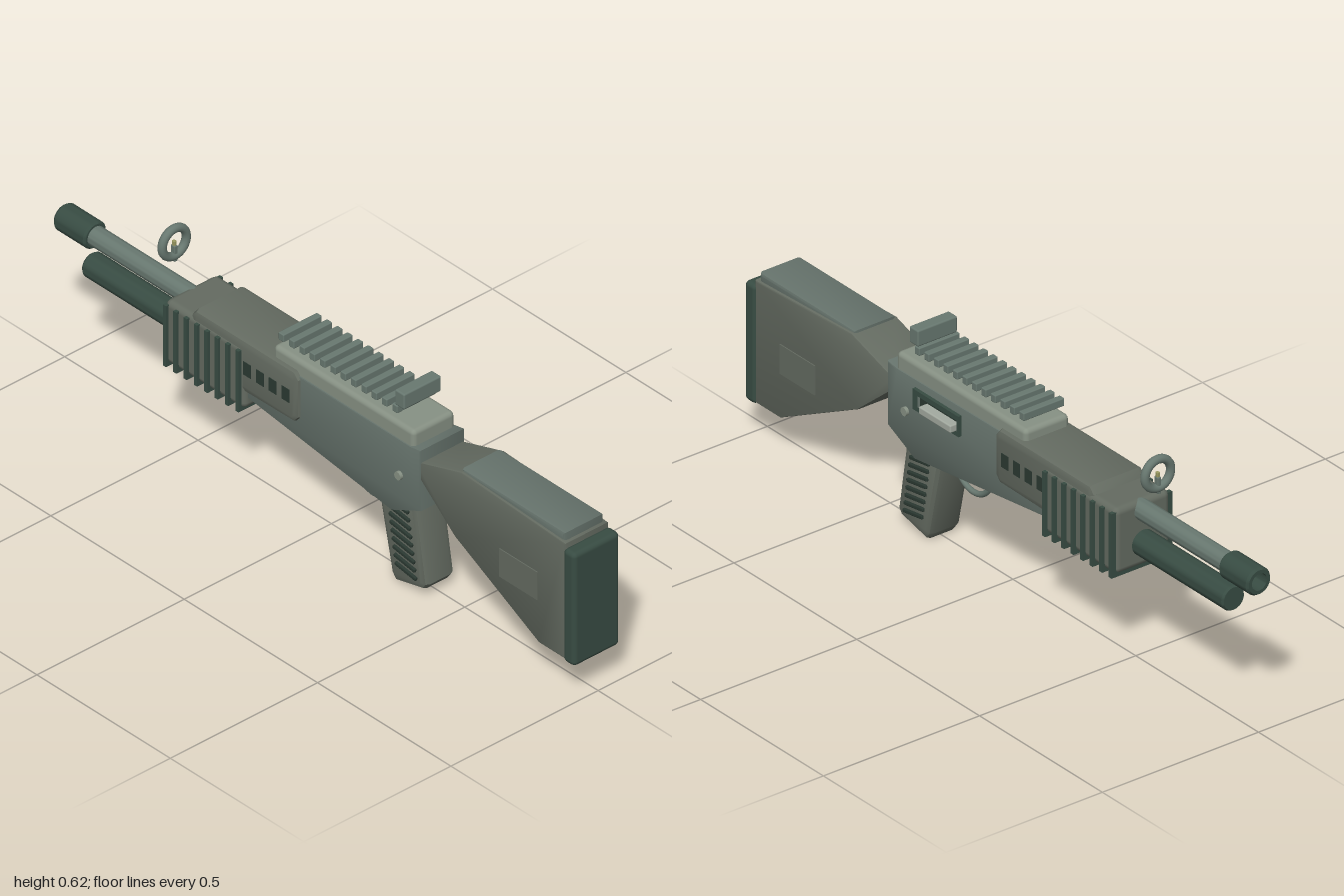
import * as THREE from 'three';
import { toCreasedNormals } from 'three/addons/utils/BufferGeometryUtils.js';
import { RoundedBoxGeometry } from 'three/addons/geometries/RoundedBoxGeometry.js';

const paint = (color) => new THREE.MeshStandardMaterial({ color });
const MAT = {
  dark: paint(0x384c43), black: paint(0x2b3932), stock: paint(0x646b61), body: paint(0x65726b),
  cover: paint(0x879184), steel: paint(0x687870), bolt: paint(0xa3aaa0), bead: paint(0x9a9a62),
};

export function createModel() {
  const model = new THREE.Group();
  const body = new THREE.Group();
  body.name = 'body';
  body.position.x = -0.003;
  model.add(body);

  const add = (name, geometry, mat, x = 0, y = 0, z = 0, parent = body) => {
    const mesh = new THREE.Mesh(geometry, MAT[mat]);
    mesh.name = name;
    mesh.position.set(x, y, z);
    parent.add(mesh);
    return mesh;
  };

  // Box given by width and its y and z ranges; rounded when r > 0
  const box = (name, mat, w, [y0, y1], [z0, z1], r = 0, x = 0, parent = body) => {
    const size = [w, Math.abs(y1 - y0), Math.abs(z1 - z0)];
    const geo = r ? new RoundedBoxGeometry(...size, 2, r) : new THREE.BoxGeometry(...size);
    return add(name, geo, mat, x, (y0 + y1) / 2, (z0 + z1) / 2, parent);
  };

  // Side profile of [z, y] points, extruded across x with bevelled edges
  const profile = (name, mat, width, points, bevel) => {
    const shape = new THREE.Shape(points.map(([z, y]) => new THREE.Vector2(z, y)));
    const geo = new THREE.ExtrudeGeometry(shape, {
      depth: width - 2 * bevel, bevelThickness: bevel, bevelSize: bevel, bevelOffset: -bevel, bevelSegments: 2,
    });
    geo.translate(0, 0, -(width - 2 * bevel) / 2).rotateY(-Math.PI / 2);
    return add(name, toCreasedNormals(geo, 0.5), mat);
  };

  // Turned part along -z from [radius, distance forward] points
  const turned = (name, mat, points, y) => {
    const geo = new THREE.LatheGeometry(points.map(([r, d]) => new THREE.Vector2(r, d)), 32);
    geo.rotateX(-Math.PI / 2);
    return add(name, toCreasedNormals(geo, 0.5), mat, 0, y, 0);
  };

  // Stock, cheek piece, butt pad and side panels
  profile('stock', 'stock', 0.146, [
    [0.962, 0.464], [0.57, 0.482], [0.4, 0.428], [0.4, 0.395], [0.545, 0.273], [0.86, 0.11], [0.962, 0.11],
  ], 0.005);
  profile('cheekPiece', 'body', 0.132, [[0.952, 0.44], [0.952, 0.488], [0.565, 0.488], [0.565, 0.45]], 0.008);
  box('buttPad', 'dark', 0.158, [0.105, 0.45], [0.955, 1.0], 0.014);
  for (const s of [-1, 1]) box('stockPanel', 'stock', 0.006, [0.24, 0.325], [0.716, 0.858], 0, s * 0.073);

  // Receiver and its top cover
  profile('receiver', 'body', 0.15, [
    [0.42, 0.472], [0.42, 0.287], [0.31, 0.235], [-0.23, 0.303], [-0.23, 0.47], [0.38, 0.465],
  ], 0.004);
  box('receiverCover', 'cover', 0.143, [0.45, 0.512], [0.39, -0.138], 0.014);
  for (const s of [-1, 1]) {
    const pin = add('receiverPin', new THREE.CylinderGeometry(0.012, 0.012, 0.018, 16), 'cover', s * 0.075, 0.36, 0.343);
    pin.rotation.z = Math.PI / 2;
  }

  // Ejection port on the left side: raised frame, recess and bolt
  const port = new THREE.Group();
  port.name = 'ejectionPort';
  body.add(port);
  const frame = new THREE.Shape([[0.305, 0.386], [0.118, 0.386], [0.118, 0.445], [0.305, 0.445]]
    .map((p) => new THREE.Vector2(...p)));
  frame.holes.push(new THREE.Path([[0.285, 0.399], [0.126, 0.399], [0.126, 0.431], [0.285, 0.431]]
    .map((p) => new THREE.Vector2(...p))));
  const frameGeo = new THREE.ExtrudeGeometry(frame, { depth: 0.014, bevelEnabled: false }).rotateY(-Math.PI / 2);
  add('portFrame', frameGeo, 'dark', 0.085, 0, 0, port);
  box('portRecess', 'black', 0.004, [0.399, 0.431], [0.126, 0.285], 0, 0.075, port);
  box('boltHandle', 'bolt', 0.03, [0.398, 0.42], [0.128, 0.258], 0.004, 0.088, port);

  // Rail teeth and rear sight
  for (let i = 0; i < 12; i++) {
    const z = 0.312 - i * 0.0387;
    box('railTooth', 'steel', 0.131, [0.531, 0.554], [z - 0.01, z + 0.01], 0.003);
  }
  box('rearSight', 'steel', 0.127, [0.553, 0.6], [0.31, 0.346], 0.005);

  // Upper handguard with vents
  profile('handguard', 'stock', 0.172, [
    [-0.027, 0.46], [-0.045, 0.48], [-0.415, 0.48], [-0.433, 0.46], [-0.433, 0.33],
    [-0.23, 0.322], [-0.045, 0.325], [-0.027, 0.345],
  ], 0.016);
  for (const s of [-1, 1]) {
    for (let i = 0; i < 5; i++) {
      const z = -0.073 - i * 0.048;
      box('vent', 'black', 0.008, [0.38, 0.42], [z - 0.014, z + 0.014], 0, s * 0.0835);
    }
  }

  // Ribbed sliding fore-end
  box('foreEnd', 'stock', 0.178, [0.27, 0.46], [-0.227, -0.527], 0.018);
  for (let i = 0; i < 8; i++) {
    const z = -0.244 - i * 0.0388;
    box('foreEndRib', 'dark', 0.194, [0.264, 0.45], [z - 0.006, z + 0.006]);
  }

  // Barrel, muzzle with open bore, and lower tube
  turned('barrel', 'steel', [[0, 0.4], [0.028, 0.4], [0.028, 0.9], [0, 0.9]], 0.432);
  turned('muzzle', 'dark', [
    [0.02, 0.88], [0.034, 0.88], [0.039, 0.886], [0.039, 0.993], [0.034, 1.0], [0.024, 1.0], [0.022, 0.93], [0, 0.93],
  ], 0.432);
  turned('lowerTube', 'dark', [[0, 0.5], [0.036, 0.5], [0.036, 0.89], [0.032, 0.896], [0, 0.896]], 0.339);

  // Front ring sight with its post
  add('frontSightRing', new THREE.TorusGeometry(0.041, 0.012, 14, 36), 'steel', 0, 0.563, -0.586);
  box('frontSightPost', 'steel', 0.012, [0.507, 0.555], [-0.594, -0.578], 0.003);
  box('frontSightBead', 'bead', 0.009, [0.553, 0.568], [-0.591, -0.581], 0.002);

  // Grip with slanted slats on both sides
  profile('grip', 'stock', 0.102, [
    [0.375, 0.27], [0.23, 0.25], [0.28, 0.02], [0.295, 0.0], [0.4, 0.025], [0.412, 0.042],
  ], 0.016);
  for (const s of [-1, 1]) {
    for (let i = 0; i < 9; i++) {
      const y = 0.244 - i * 0.0235;
      const slat = add('gripSlat', new RoundedBoxGeometry(0.012, 0.011, 0.08, 1, 0.003), 'black',
        s * 0.052, y, 0.312 + (0.244 - y) * 0.16);
      slat.rotation.x = 0.15;
    }
  }

  // Trigger and guard
  const guard = add('triggerGuard', new THREE.TorusGeometry(0.073, 0.008, 10, 32, Math.PI), 'steel', 0, 0.252, 0.163);
  guard.rotation.set(0, Math.PI / 2, Math.PI, 'YXZ');
  const trigger = new THREE.CatmullRomCurve3([[0.27, 0.168], [0.245, 0.178], [0.225, 0.185]]
    .map(([y, z]) => new THREE.Vector3(0, y, z)));
  add('trigger', new THREE.TubeGeometry(trigger, 8, 0.009, 10), 'steel');
  add('triggerTip', new THREE.SphereGeometry(0.009, 12, 8), 'steel', 0, 0.225, 0.185);

  return model;
}
